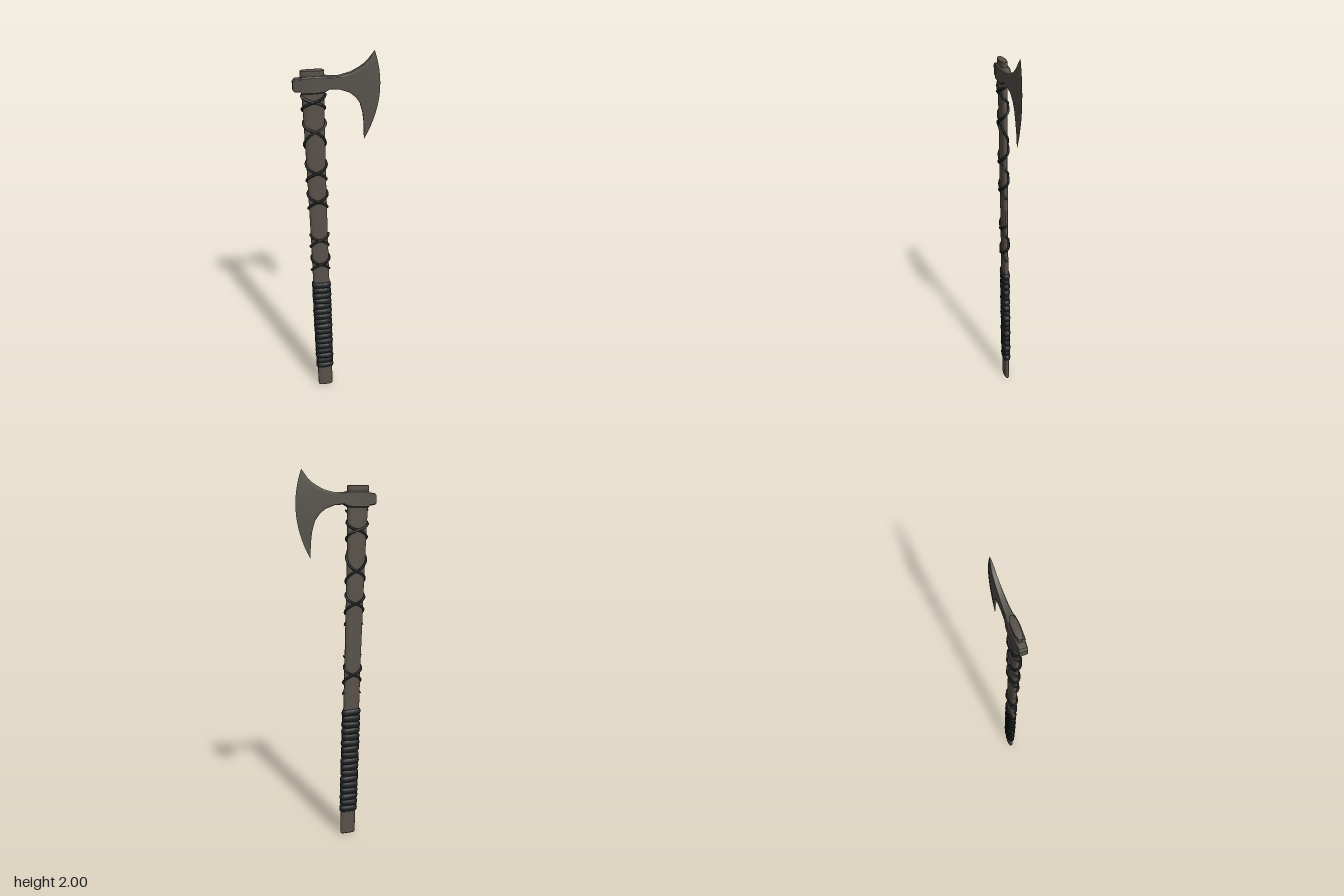
import * as THREE from 'three';
import { toCreasedNormals } from 'three/addons/utils/BufferGeometryUtils.js';

const V = (x, y, z) => new THREE.Vector3(x, y, z);
const lerp = THREE.MathUtils.lerp;
const Z0 = -0.004; // centre plane of the axe

// Skin a row of closed rings and cap both ends
function loft(rings, crease = 0.6) {
  const n = rings[0].length, pos = [], idx = [];
  rings.forEach(r => r.forEach(p => pos.push(p.x, p.y, p.z)));
  for (let i = 0; i < rings.length - 1; i++) {
    for (let j = 0; j < n; j++) {
      const a = i * n + j, b = i * n + (j + 1) % n;
      idx.push(a, a + n, b, b, a + n, b + n);
    }
  }
  [0, rings.length - 1].forEach(i => {
    const c = rings[i].reduce((s, p) => s.add(p), V(0, 0, 0)).divideScalar(n);
    const k = pos.length / 3;
    pos.push(c.x, c.y, c.z);
    for (let j = 0; j < n; j++) {
      const a = i * n + j, b = i * n + (j + 1) % n;
      if (i === 0) idx.push(k, a, b); else idx.push(k, b, a);
    }
  });
  const g = new THREE.BufferGeometry();
  g.setAttribute('position', new THREE.Float32BufferAttribute(pos, 3));
  g.setIndex(idx);
  return toCreasedNormals(g, crease);
}

// Handle stations: height, centre x, half width, half depth
const HAFT = [
  [0.005, -0.069, 0.042, 0.015], [0.4, -0.079, 0.044, 0.015], [0.75, -0.088, 0.045, 0.015],
  [1.0, -0.094, 0.045, 0.015], [1.4, -0.105, 0.048, 0.016], [1.7, -0.113, 0.052, 0.017],
  [1.92, -0.119, 0.058, 0.018],
];

// Point on the handle surface, pushed outward by off
function onHaft(y, angle, off = 0) {
  let i = 0;
  while (i < HAFT.length - 2 && y > HAFT[i + 1][0]) i++;
  const A = HAFT[i], B = HAFT[i + 1], t = (y - A[0]) / (B[0] - A[0]);
  const [cx, a, b] = [1, 2, 3].map(k => lerp(A[k], B[k], t));
  const round = v => Math.sign(v) * Math.abs(v) ** 0.8;
  return V(cx + (a + off) * round(Math.cos(angle)), y, Z0 + (b + off) * round(Math.sin(angle)));
}

const SIDES = 32;
const haftRing = (y, off = 0, tilt = 0) => Array.from({ length: SIDES }, (_, j) => {
  const a = j / SIDES * Math.PI * 2;
  const p = onHaft(y, a, off);
  p.y += tilt * Math.cos(a);
  return p;
});

// Head stations from poll to edge: top x, top y, bottom x, bottom y, outward bow, half thickness
const HEAD = [
  [-0.212, 1.872, -0.212, 1.832, 0, 0.018],
  [-0.203, 1.884, -0.203, 1.824, 0, 0.020],
  [-0.175, 1.886, -0.175, 1.822, 0, 0.022],
  [-0.170, 1.894, -0.170, 1.812, 0, 0.024],
  [-0.100, 1.895, -0.100, 1.812, 0, 0.027],
  [-0.062, 1.893, -0.062, 1.815, 0, 0.024],
  [-0.040, 1.888, -0.040, 1.828, 0, 0.019],
  [0.010, 1.888, 0.010, 1.825, 0, 0.016],
  [0.065, 1.902, 0.060, 1.806, 0.002, 0.0135],
  [0.100, 1.920, 0.090, 1.780, 0.006, 0.012],
  [0.128, 1.938, 0.112, 1.748, 0.013, 0.011],
  [0.150, 1.960, 0.126, 1.700, 0.025, 0.009],
  [0.166, 1.982, 0.133, 1.640, 0.040, 0.005],
  [0.178, 2.000, 0.135, 1.560, 0.051, 0.0004],
];

function headRing([tx, ty, bx, by, bow, h]) {
  const N = 14, side = sign => Array.from({ length: N + 1 }, (_, k) => {
    const s = k / N;
    const thick = k === 0 || k === N ? h * 0.8 : h;
    return V(lerp(bx, tx, s) + 4 * s * (1 - s) * bow, lerp(by, ty, s), Z0 + sign * thick);
  });
  return [...side(1), ...side(-1).reverse()];
}

// Cord winding round the handle; heights are given at each half turn, front first
function cord(heights, mirror) {
  const pts = [], last = heights.length - 1;
  for (let u = -0.5; u <= last + 0.501; u += 1 / 16) {
    const i = THREE.MathUtils.clamp(Math.floor(u), 0, last - 1);
    const y = lerp(heights[i], heights[i + 1], u - i);
    pts.push(onHaft(y, Math.PI / 2 + mirror * u * Math.PI, mirror > 0 ? 0.002 : 0.004));
  }
  return new THREE.TubeGeometry(new THREE.CatmullRomCurve3(pts), pts.length * 2, 0.0065, 6);
}

export function createModel() {
  const model = new THREE.Group();
  const material = (name, color) => Object.assign(new THREE.MeshStandardMaterial({ color }), { name });
  const wood = material('weathered wood', 0x5a524b);
  const steel = material('dark steel', 0x58544d);
  const leather = material('black leather', 0x1f2123);
  const add = (name, geometry, mat, parent = model) => {
    const m = new THREE.Mesh(geometry, mat);
    m.name = name;
    parent.add(m);
  };

  // Handle with softened ends
  add('handle', loft([
    haftRing(0.005, -0.003), ...HAFT.map(s => haftRing(s[0] + (s[0] < 0.1 ? 0.004 : 0))), haftRing(1.922, -0.003),
  ]), wood);

  // Axe head: poll, eye, neck and bearded blade
  add('axeHead', loft(HEAD.map(headRing), 0.45), steel);

  // Grip wrap of slightly uneven bands
  const grip = new THREE.Group();
  grip.name = 'gripWrap';
  model.add(grip);
  const BANDS = 17, pitch = 0.6 / BANDS;
  for (let i = 0; i < BANDS; i++) {
    const y = 0.14 + (i + 0.5) * pitch, tilt = 0.004 * Math.sin(i * 2.3), bulge = 0.0015 * Math.sin(i * 4.1);
    const profile = [[-0.52, 0.001], [-0.42, 0.006], [0, 0.008 + bulge], [0.42, 0.006], [0.52, 0.001]];
    add('gripBand', loft(profile.map(([d, off]) => haftRing(y + d * pitch, off, tilt)), 1), leather, grip);
  }

  // Crossed lashings, lower and upper runs
  const runs = [
    [0.86, 0.935, 1.01],
    [1.24, 1.32, 1.40, 1.49, 1.62, 1.70, 1.77],
  ];
  for (const run of runs) for (const mirror of [1, -1]) add('crossLashing', cord(run, mirror), leather);

  return model;
}
